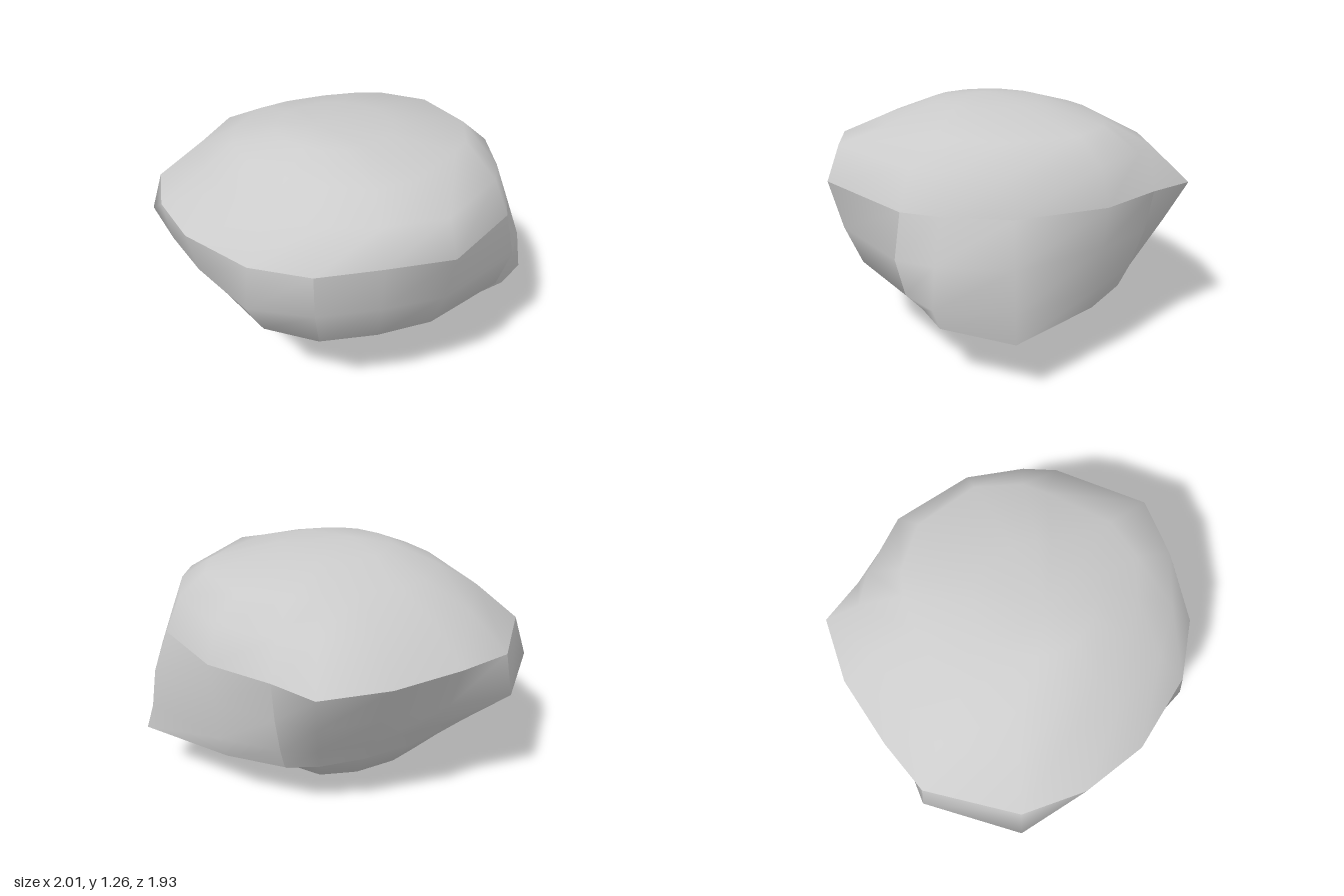
import * as THREE from 'three';

// Directions of the section points in degrees, from the left side (+x) towards the front (+z).
const ANGLES = [11, 34, 47, 82, 103, 123, 143, 169, 190, 209, 237, 254, 278, 299, 313, 338];
const SIDES = ANGLES.length;

// Horizontal sections from bottom to top: height, then the radius per direction,
// or one radius and the x and z of a circle's centre.
const SECTIONS = [
  [0.11, 0.29, -0.12, 0.04],
  [0.15, [0.55, 0.50, 0.46, 0.39, 0.40, 0.42, 0.45, 0.46, 0.48, 0.52, 0.58, 0.56, 0.55, 0.55, 0.50, 0.50]],
  [0.29, [1.02, 0.90, 0.75, 0.60, 0.60, 0.68, 0.68, 0.64, 0.65, 0.72, 0.72, 0.66, 0.65, 0.69, 0.72, 0.77]],
  [0.42, [0.98, 0.98, 0.88, 0.81, 0.81, 0.86, 0.86, 0.79, 0.80, 0.92, 0.86, 0.74, 0.73, 0.76, 0.78, 0.82]],
  [0.63, [0.95, 0.95, 0.95, 0.90, 0.88, 0.94, 0.99, 0.93, 0.98, 1.14, 1.10, 0.91, 0.86, 0.91, 0.85, 0.83]],
  [0.85, [0.87, 0.87, 0.90, 0.97, 0.92, 0.95, 0.96, 0.98, 1.02, 1.07, 1.06, 0.98, 0.98, 1.03, 0.89, 0.86]],
  [1.04, [0.79, 0.80, 0.82, 0.90, 0.86, 0.82, 0.80, 0.77, 0.77, 0.84, 0.85, 0.78, 0.78, 0.82, 0.80, 0.80]],
  [1.16, [0.65, 0.63, 0.60, 0.64, 0.66, 0.62, 0.60, 0.61, 0.62, 0.62, 0.60, 0.56, 0.54, 0.57, 0.60, 0.64]],
  [1.24, 0.31, -0.1, 0.05],
];
const BASE = 2;
const RIM = 5;
const TOP = SECTIONS.length - 1;
const FOOT = [-0.2, 0, 0.16];
const PEAK = [-0.2, 1.26, 0.05];

function sectionPoint(row, col) {
  const [height, radii, cx = 0, cz = 0] = SECTIONS[row];
  const a = THREE.MathUtils.degToRad(ANGLES[col % SIDES]);
  const r = radii[col % SIDES] ?? radii;
  // the crown's lower rows rise slightly at the front
  const lift = row === RIM || row === RIM + 1 ? 0.045 * Math.max(0, Math.sin(a)) ** 8 : 0;
  return [cx + r * Math.cos(a), height + lift, cz + r * Math.sin(a)];
}

// One smooth patch between rows and columns, optionally closed to a tip.
function patch(name, row0, row1, col0, col1, material, tip, tipAbove) {
  const closed = col1 - col0 === SIDES;
  const count = closed ? SIDES : col1 - col0 + 1;
  const positions = [];
  const index = [];
  for (let row = row0; row <= row1; row++)
    for (let c = 0; c < count; c++) positions.push(...sectionPoint(row, col0 + c));

  const id = (row, c) => (row - row0) * count + (c % count);
  for (let c = 0; c < col1 - col0; c++) {
    for (let row = row0; row < row1; row++) {
      index.push(id(row, c), id(row + 1, c), id(row, c + 1));
      index.push(id(row, c + 1), id(row + 1, c), id(row + 1, c + 1));
    }
    if (tip) {
      const t = (row1 - row0 + 1) * count;
      if (tipAbove) index.push(id(row1, c), t, id(row1, c + 1));
      else index.push(id(row0, c), id(row0, c + 1), t);
    }
  }
  if (tip) positions.push(...tip);

  const geometry = new THREE.BufferGeometry();
  geometry.setAttribute('position', new THREE.Float32BufferAttribute(positions, 3));
  geometry.setIndex(index);
  geometry.computeVertexNormals();
  const mesh = new THREE.Mesh(geometry, material);
  mesh.name = name;
  return mesh;
}

export function createModel() {
  const rock = new THREE.Group();
  rock.name = 'rock';
  const stone = new THREE.MeshStandardMaterial({ color: 0xcccccc });

  // Domed top and pointed underside
  rock.add(patch('crown', RIM, TOP, 0, SIDES, stone, PEAK, true));
  rock.add(patch('underside', 0, BASE, 0, SIDES, stone, FOOT, false));

  // Four side faces that meet in sharp edges
  const faces = [['frontFace', 2, 5], ['rightFace', 5, 10], ['backFace', 10, 14], ['leftFace', 14, 18]];
  for (const [name, from, to] of faces) rock.add(patch(name, BASE, RIM, from, to, stone));

  return rock;
}
